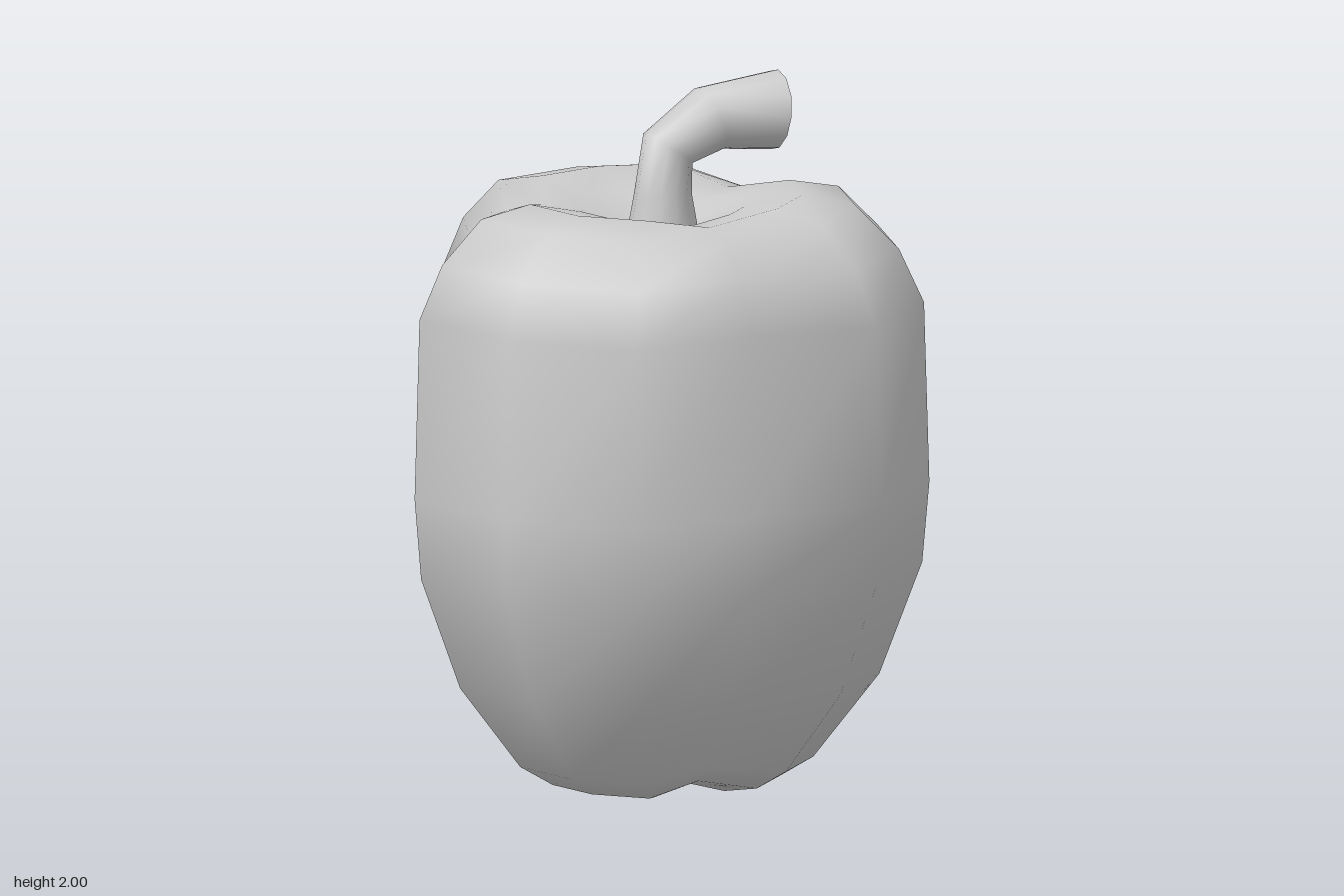
import * as THREE from 'three';
import { mergeVertices } from 'three/addons/utils/BufferGeometryUtils.js';

const SIDES = 12;
const CENTER_Z = 0.04;

// Skins a stack of closed rings (listed along the axis) with smooth normals.
function loft(name, rings) {
  const n = rings[0].length;
  const index = [];
  for (let r = 0; r < rings.length - 1; r++) {
    for (let i = 0; i < n; i++) {
      const a = r * n + i, b = r * n + (i + 1) % n;
      index.push(a, a + n, b, b, a + n, b + n);
    }
  }
  let geometry = new THREE.BufferGeometry().setFromPoints(rings.flat());
  geometry.setIndex(index);
  geometry = mergeVertices(geometry, 1e-4);
  geometry.computeVertexNormals();
  const mesh = new THREE.Mesh(geometry, new THREE.MeshStandardMaterial({ color: 0xcccccc, side: THREE.DoubleSide }));
  mesh.name = name;
  return mesh;
}

// Ring of points: every fourth one sits in a groove between two lobes.
function lobedRing([radius, y, groove, grooveLift]) {
  return Array.from({ length: SIDES }, (_, i) => {
    const inGroove = i % 4 === 3;
    const angle = (i / SIDES) * Math.PI * 2;
    const r = radius * (inGroove ? groove : 1);
    return new THREE.Vector3(r * Math.cos(angle), y + (inGroove ? grooveLift : 0), CENTER_Z + r * Math.sin(angle));
  });
}

// Elliptical ring spanning two points of the stem's side outline.
function stemRing([ax, ay, bx, by, depth]) {
  return Array.from({ length: SIDES }, (_, i) => {
    const angle = (i / SIDES) * Math.PI * 2, c = Math.cos(angle) / 2;
    return new THREE.Vector3(
      (ax + bx) / 2 + (bx - ax) * c,
      (ay + by) / 2 + (by - ay) * c,
      CENTER_Z + 0.01 + depth * Math.sin(angle));
  });
}

export function createModel() {
  const group = new THREE.Group();
  group.name = 'bellPepper';

  // Body: radius, height, groove radius factor, groove height offset
  const profile = [
    [0, 0.06, 1, 0],
    [0.1, 0.045, 0.9, 0.01],
    [0.22, 0, 0.8, 0.03],
    [0.33, 0.02, 0.77, 0.03],
    [0.43, 0.08, 0.77, 0.02],
    [0.615, 0.32, 0.78, 0],
    [0.735, 0.64, 0.8, 0],
    [0.755, 0.87, 0.825, 0],
    [0.74, 1.38, 0.81, 0],
    [0.67, 1.53, 0.79, 0],
    [0.55, 1.65, 0.78, -0.03],
    [0.4, 1.68, 0.82, -0.04],
    [0.24, 1.645, 0.9, -0.02],
    [0.11, 1.59, 1, 0],
    [0, 1.58, 1, 0],
  ];
  group.add(loft('body', profile.map(lobedRing)));

  // Stem: two outline points (x, y, x, y) and half depth
  const outline = [
    [-0.095, 1.57, 0.105, 1.57, 0.1],
    [-0.075, 1.68, 0.085, 1.68, 0.083],
    [-0.045, 1.85, 0.085, 1.76, 0.083],
    [0.12, 1.97, 0.18, 1.79, 0.095],
    [0.36, 2.0, 0.335, 1.775, 0.115],
  ];
  group.add(loft('stem', outline.map(stemRing)));

  // Flat cut end of the stem
  const tip = outline[outline.length - 1];
  const mid = [(tip[0] + tip[2]) / 2, (tip[1] + tip[3]) / 2];
  group.add(loft('stemCut', [stemRing(tip), stemRing([...mid, ...mid, 0])]));

  return group;
}
